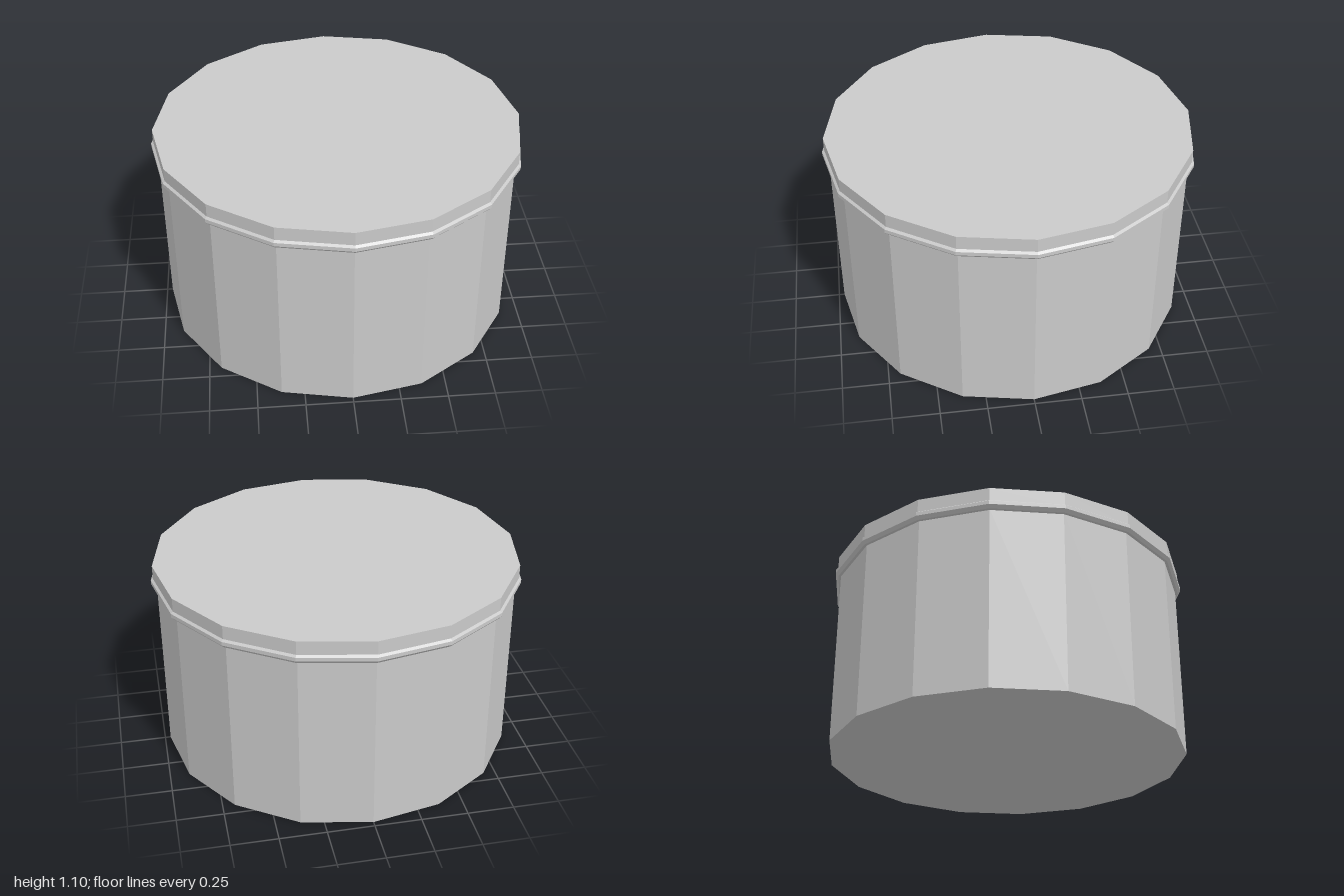
import * as THREE from 'three';

const SIDES = 16;

export function createModel() {
  const model = new THREE.Group();
  model.name = 'roundTin';

  const metal = new THREE.MeshStandardMaterial({ color: 0xcacaca, flatShading: true });
  metal.name = 'light grey metal';

  // Revolves a [radius, height] profile, listed from bottom to top
  function addRevolved(name, profile) {
    const points = profile.map(([r, y]) => new THREE.Vector2(r, y));
    const mesh = new THREE.Mesh(new THREE.LatheGeometry(points, SIDES), metal);
    mesh.name = name;
    model.add(mesh);
  }

  // Straight container wall with a closed base
  addRevolved('body', [[0, 0], [0.97, 0], [0.97, 0.985]]);

  // Rolled rim, bevelled underneath and on top
  addRevolved('rim', [[0.965, 0.98], [0.985, 0.98], [1, 0.997], [1, 1.017], [0.988, 1.027]]);

  // Shallow flat lid
  addRevolved('lid', [[0.988, 1.02], [0.988, 1.1], [0, 1.1]]);

  return model;
}
